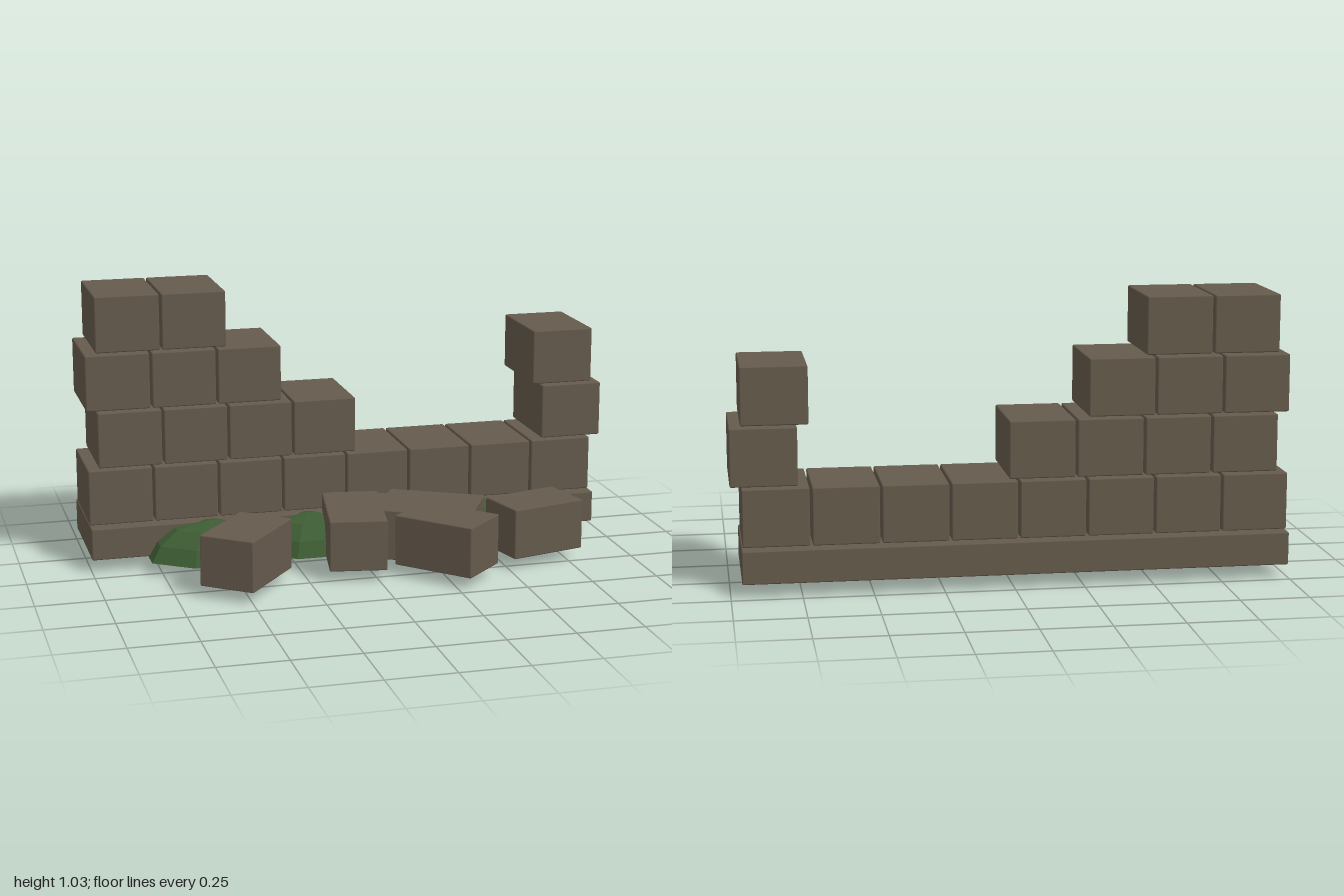
import * as THREE from 'three';
import { RoundedBoxGeometry } from 'three/addons/geometries/RoundedBoxGeometry.js';

export function createModel() {
  const model = new THREE.Group();
  model.name = 'ruinedWall';

  const stone = new THREE.MeshStandardMaterial({ color: 0x655a4c });
  stone.name = 'brown stone';
  const moss = new THREE.MeshStandardMaterial({ color: 0x3d5c33, flatShading: true });
  moss.name = 'moss green';

  // Stone block with slightly worn edges
  function block(name, w, h, d, x, y, z, turn = 0) {
    const mesh = new THREE.Mesh(new RoundedBoxGeometry(w, h, d, 1, 0.005), stone);
    mesh.name = name;
    mesh.position.set(x, y, z);
    mesh.rotation.y = turn;
    model.add(mesh);
  }

  // Foundation slab
  block('foundation', 1.96, 0.12, 0.42, -0.02, 0.112, -0.27);

  // Staggered courses: offset of the course and the slots still standing
  const courses = [
    { start: -1, slots: [0, 1, 2, 3, 4, 5, 6, 7] },
    { start: -0.96, slots: [0, 1, 2, 3, 7] },
    { start: -1, slots: [0, 1, 2, 7] },
    { start: -0.96, slots: [0, 1] },
  ];
  courses.forEach(({ start, slots }, row) => {
    for (const slot of slots) {
      block('wallBlock', 0.237, 0.208, 0.34, start + 0.1185 + slot * 0.2455, 0.279 + row * 0.216, -0.27);
    }
  });

  // Fallen blocks: width, depth, x, z, turn about y
  const fallen = [
    [0.212, 0.32, -0.484, 0.244, -0.67],
    [0.212, 0.39, -0.044, 0.096, -0.17],
    [0.318, 0.212, 0.257, 0.29, -0.81],
    [0.366, 0.288, 0.24, 0.12, -0.503],
    [0.24, 0.217, 0.115, 0.084, -0.503],
    [0.3, 0.205, 0.636, 0.171, 0.25],
  ];
  for (const [w, d, x, z, turn] of fallen) {
    block('fallenBlock', w, 0.19, d, x, 0.14, z, turn);
  }

  // Faceted moss clumps: wide rim, shallow pointed underside, domed top
  const profile = [[0, 0], [1, 0.046], [0.86, 0.105], [0.58, 0.155], [0, 0.175]]
    .map(([r, y]) => new THREE.Vector2(r, y));
  const clumps = [
    [-0.55, -0.055, 0.26, 0.185],
    [-0.18, -0.06, 0.21, 0.18],
    [0.57, -0.055, 0.255, 0.165],
  ];
  for (const [x, z, rx, rz] of clumps) {
    const geometry = new THREE.LatheGeometry(profile, 8, Math.PI / 8);
    const mesh = new THREE.Mesh(geometry, moss);
    mesh.name = 'mossClump';
    mesh.scale.set(rx, 1, rz);
    mesh.position.set(x, 0.003, z);
    model.add(mesh);
  }

  return model;
}
